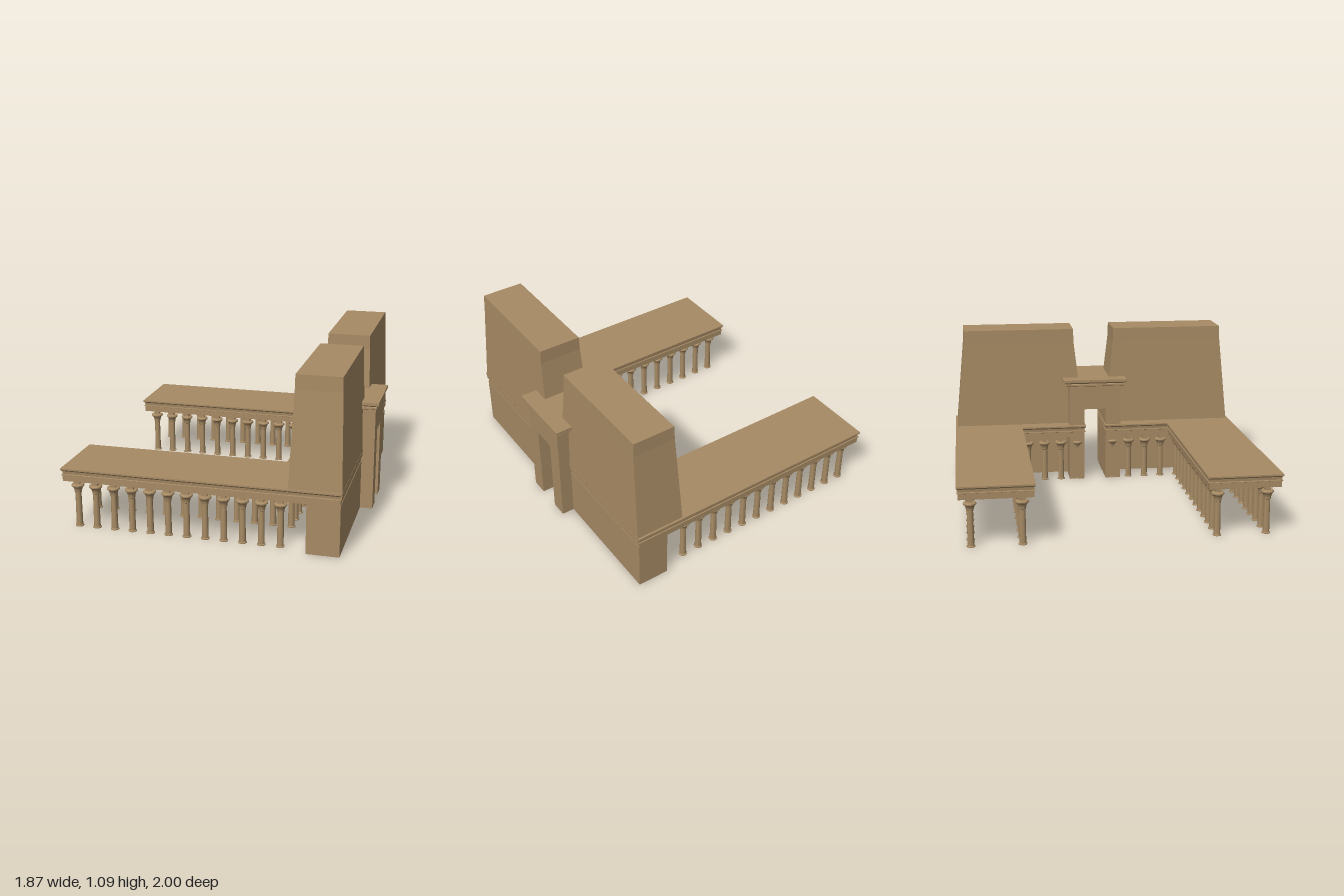
import * as THREE from 'three';
import { toCreasedNormals } from 'three/addons/utils/BufferGeometryUtils.js';

const sandstone = new THREE.MeshStandardMaterial({ color: 0xa68a64 });
sandstone.name = 'sandstone';

function add(parent, name, geometry, x = 0, y = 0, z = 0) {
  const mesh = new THREE.Mesh(geometry, sandstone);
  mesh.name = name;
  mesh.position.set(x, y, z);
  parent.add(mesh);
  return mesh;
}

const rect = (x0, x1, z0, z1) => [[x0, z0], [x1, z0], [x1, z1], [x0, z1]];

// Keeps every plan outline in the same turning direction
function orient(plan) {
  let area = 0;
  plan.forEach(([x, z], i) => {
    const [u, v] = plan[(i + 1) % plan.length];
    area += x * v - u * z;
  });
  return area > 0 ? plan : plan.slice().reverse();
}

// Moves the edges of a right-angled plan inwards by d
function inset(plan, d) {
  const n = plan.length;
  const inward = (a, b) => {
    const l = Math.hypot(b[0] - a[0], b[1] - a[1]);
    return [-(b[1] - a[1]) / l, (b[0] - a[0]) / l];
  };
  return plan.map((p, i) => {
    const m = inward(plan[(i + n - 1) % n], p);
    const k = inward(p, plan[(i + 1) % n]);
    return [p[0] + d * (m[0] + k[0]), p[1] + d * (m[1] + k[1])];
  });
}

// Stacks plans at given heights into a closed, flat-faced solid
function loft(layers) {
  const pos = [];
  const push = (...pts) => pts.forEach(([p, y]) => pos.push(p[0], y, p[1]));
  for (let j = 0; j < layers.length - 1; j++) {
    const [y0, lo] = layers[j], [y1, hi] = layers[j + 1];
    lo.forEach((a, i) => {
      const k = (i + 1) % lo.length;
      push([a, y0], [hi[i], y1], [lo[k], y0]);
      push([lo[k], y0], [hi[i], y1], [hi[k], y1]);
    });
  }
  const cap = ([y, plan], up) => {
    const pts = plan.map(p => new THREE.Vector2(p[0], p[1]));
    for (const t of THREE.ShapeUtils.triangulateShape(pts, [])) {
      const [a, b, c] = t.map(i => plan[i]);
      const turn = (b[0] - a[0]) * (c[1] - a[1]) - (b[1] - a[1]) * (c[0] - a[0]);
      if ((turn > 0) === up) push([a, y], [c, y], [b, y]);
      else push([a, y], [b, y], [c, y]);
    }
  };
  cap(layers[0], false);
  cap(layers[layers.length - 1], true);
  const g = new THREE.BufferGeometry();
  g.setAttribute('position', new THREE.Float32BufferAttribute(pos, 3));
  g.computeVertexNormals();
  return g;
}

// Runs a moulding profile of [height, inset] pairs around a plan
function moulding(plan, profile) {
  const p = orient(plan);
  return loft(profile.map(([y, d]) => [y, inset(p, d)]));
}

// Round shaft with a bell capital
function columnGeometry() {
  const profile = [
    [0, 0], [0.027, 0], [0.027, 0.006], [0.021, 0.009], [0.019, 0.225], [0.023, 0.228],
    [0.023, 0.236], [0.026, 0.25], [0.032, 0.263], [0.041, 0.272], [0.041, 0.279],
    [0.033, 0.286], [0, 0.286],
  ].map(([r, y]) => new THREE.Vector2(r, y));
  return toCreasedNormals(new THREE.LatheGeometry(profile, 16), 0.6);
}

function createGate() {
  const gate = new THREE.Group();
  gate.name = 'gate';
  // Jambs and lintel around the passage
  const s = new THREE.Shape();
  [[-0.185, 0], [-0.077, 0], [-0.077, 0.52], [0.077, 0.52], [0.077, 0], [0.185, 0],
    [0.185, 0.692], [-0.185, 0.692]].forEach(([x, y], i) => (i ? s.lineTo(x, y) : s.moveTo(x, y)));
  const body = new THREE.ExtrudeGeometry(s, { depth: 0.478, bevelEnabled: false });
  body.rotateY(Math.PI / 2);
  add(gate, 'gateFrame', body, 0.429);
  // Roll and flared cornice
  add(gate, 'gateCornice', moulding(rect(0.406, 0.931, -0.228, 0.228), [
    [0.688, 0.022], [0.692, 0.015], [0.704, 0.015], [0.708, 0.021],
    [0.714, 0.014], [0.718, 0.002], [0.72, 0], [0.738, 0],
  ]));
  return gate;
}

export function createModel() {
  const model = new THREE.Group();
  model.name = 'templeCourt';
  const column = columnGeometry();
  const abacus = new THREE.BoxGeometry(0.036, 0.042, 0.036);

  for (const s of [1, -1]) {
    const half = new THREE.Group();
    half.name = s > 0 ? 'frontHalf' : 'backHalf';
    model.add(half);
    const mirror = plan => orient(plan.map(([x, z]) => [x, z * s]));

    // L-shaped portico roof with architrave, roll and cornice
    const roof = [[-0.935, 1], [0.832, 1], [0.832, 0.068], [0.403, 0.068],
      [0.403, 0.525], [-0.935, 0.525]];
    add(half, 'porticoRoof', moulding(mirror(roof), [
      [0.32, 0.01], [0.356, 0.01], [0.358, 0.005], [0.365, 0.005], [0.367, 0.011],
      [0.385, 0.009], [0.392, 0.002], [0.394, 0], [0.404, 0],
    ]));

    // Wall below the tower
    add(half, 'towerWall', new THREE.BoxGeometry(0.205, 0.33, 0.915), 0.7225, 0.165, s * 0.5325);

    // Tapering tower
    add(half, 'tower', loft([
      [0.367, mirror(rect(0.505, 0.832, 0.07, 0.99))],
      [1.0, mirror(rect(0.528, 0.813, 0.143, 0.928))],
      [1.09, mirror(rect(0.53, 0.81, 0.145, 0.925))],
    ]));

    // Colonnades: two rows along the wing, one towards the gate
    const spots = [];
    for (let i = 0; i < 12; i++) {
      const x = -0.855 + i * 0.1187;
      spots.push([x, 0.92], [x, 0.605]);
    }
    for (let i = 1; i < 5; i++) spots.push([0.451, 0.605 - i * 0.119]);
    for (const [x, z] of spots) {
      const group = new THREE.Group();
      group.name = 'column';
      group.position.set(x, 0, z * s);
      add(group, 'columnShaft', column);
      add(group, 'columnBlock', abacus, 0, 0.303, 0);
      half.add(group);
    }
  }

  model.add(createGate());
  return model;
}
